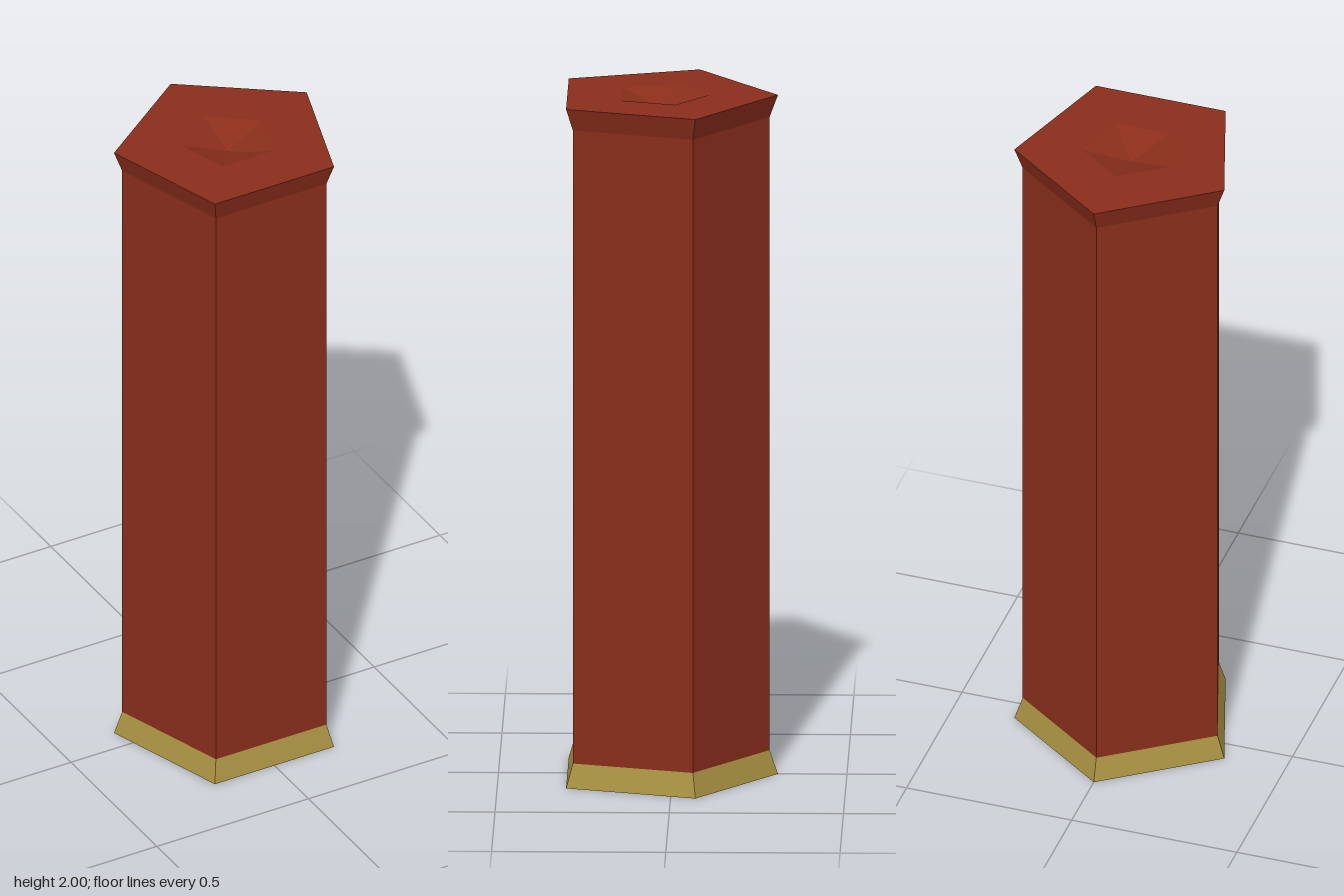
import * as THREE from 'three';

const SIDES = 5;

// Five-sided turned part; profile of [radius, height] runs from the underside to the top
function pentagonPart(name, color, profile) {
  const points = profile.map(([r, y]) => new THREE.Vector2(r, y));
  // one corner points to the back, a flat face to the front
  const geometry = new THREE.LatheGeometry(points, SIDES, Math.PI);
  const material = new THREE.MeshStandardMaterial({ color, flatShading: true });
  const mesh = new THREE.Mesh(geometry, material);
  mesh.name = name;
  return mesh;
}

export function createModel() {
  const group = new THREE.Group();
  group.name = 'pentagonalCartridge';

  // Straight shaft, flared lip and a shallow pyramid-shaped pit in the top
  const body = pentagonPart('body', 0x8a2e1b, [
    [0.31, 0.07], [0.31, 1.935], [0.334, 2], [0.139, 2], [0, 1.96],
  ]);

  // Flared metal foot with a sloping recess underneath
  const base = pentagonPart('base', 0xa89142, [
    [0.122, 0.02], [0.245, 0], [0.334, 0], [0.31, 0.07],
  ]);

  // Small plate at the bottom of the recess
  const plate = pentagonPart('basePlate', 0x8a3a2a, [[0, 0.02], [0.122, 0.02]]);

  group.add(body, base, plate);
  // shift so the pentagon's bounds are centred front to back
  for (const part of group.children) part.position.z = 0.032;
  return group;
}
